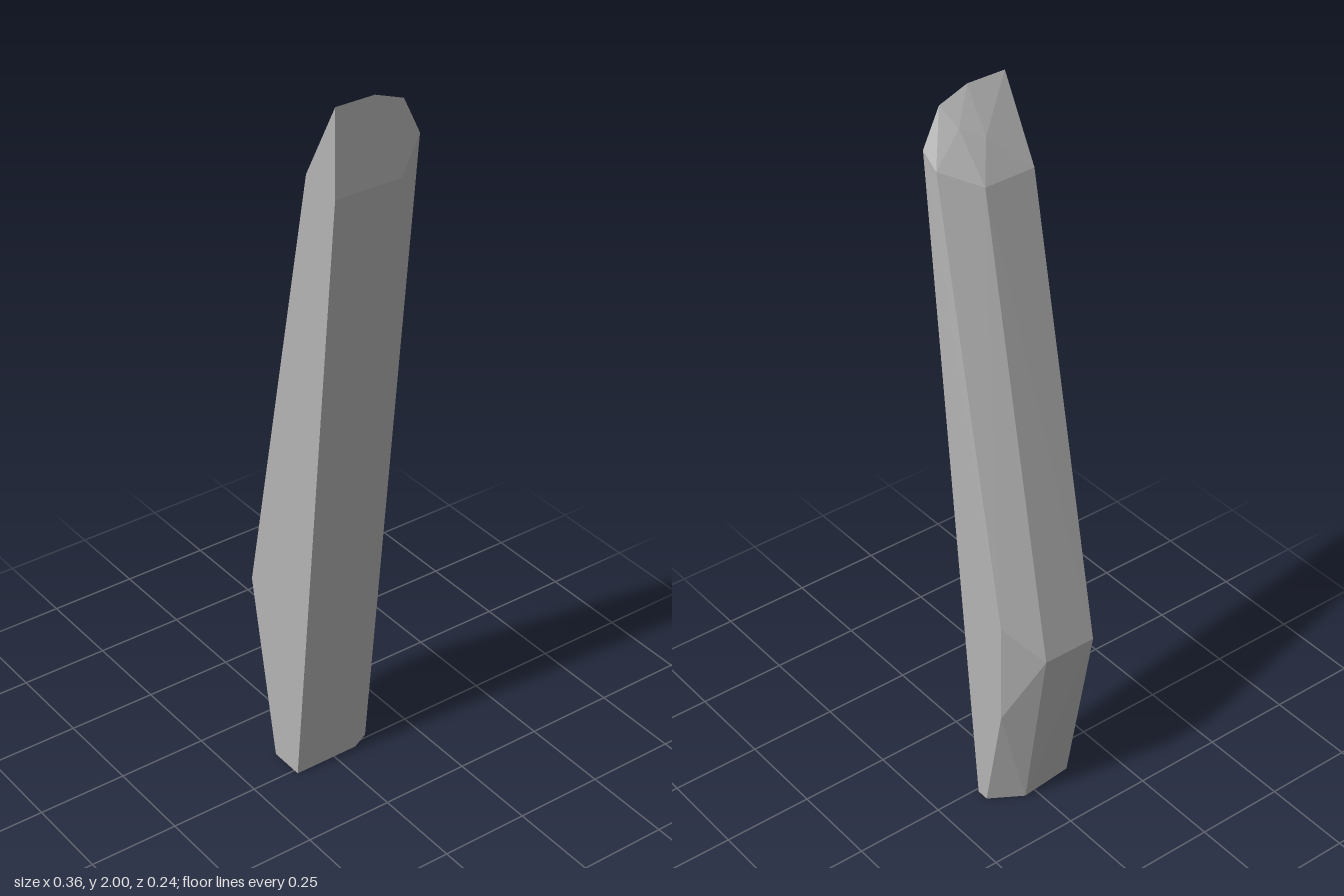
import * as THREE from 'three';
import { ConvexGeometry } from 'three/addons/geometries/ConvexGeometry.js';

export function createModel() {
  const group = new THREE.Group();
  group.name = 'stoneShard';
  const stone = new THREE.MeshStandardMaterial({ color: 0xb4b4b4, flatShading: true });
  stone.name = 'grey stone';

  // Flat foot of the shard
  const foot = [
    [0.015, 0, 0.12], [-0.085, 0, 0.12], [-0.1, 0, -0.034],
    [-0.045, 0, -0.122], [-0.01, 0, -0.122], [0.015, 0, -0.07],
  ];
  // Low bulge on the right, bevelled towards the back
  const bulge = [
    [-0.183, 0.52, 0.12], [-0.183, 0.52, -0.034],
    [-0.11, 0.63, -0.123], [-0.11, 0.33, -0.123],
  ];
  // Shoulder below the tip
  const shoulder = [
    [0.068, 1.79, 0.12], [0.065, 1.79, -0.028], [0.13, 1.835, -0.12],
    [0.18, 1.87, -0.12], [0.18, 1.77, -0.07], [0.18, 1.77, 0.12],
  ];
  // Chipped tip
  const tip = [
    [0.18, 2, 0.12], [0.18, 2, 0.01], [0.18, 1.97, -0.072],
    [0.11, 1.89, 0.01], [0.137, 1.92, -0.048],
  ];

  const points = [...foot, ...bulge, ...shoulder, ...tip].map((p) => new THREE.Vector3(...p));
  const shard = new THREE.Mesh(new ConvexGeometry(points), stone);
  shard.name = 'shard';
  group.add(shard);
  return group;
}
